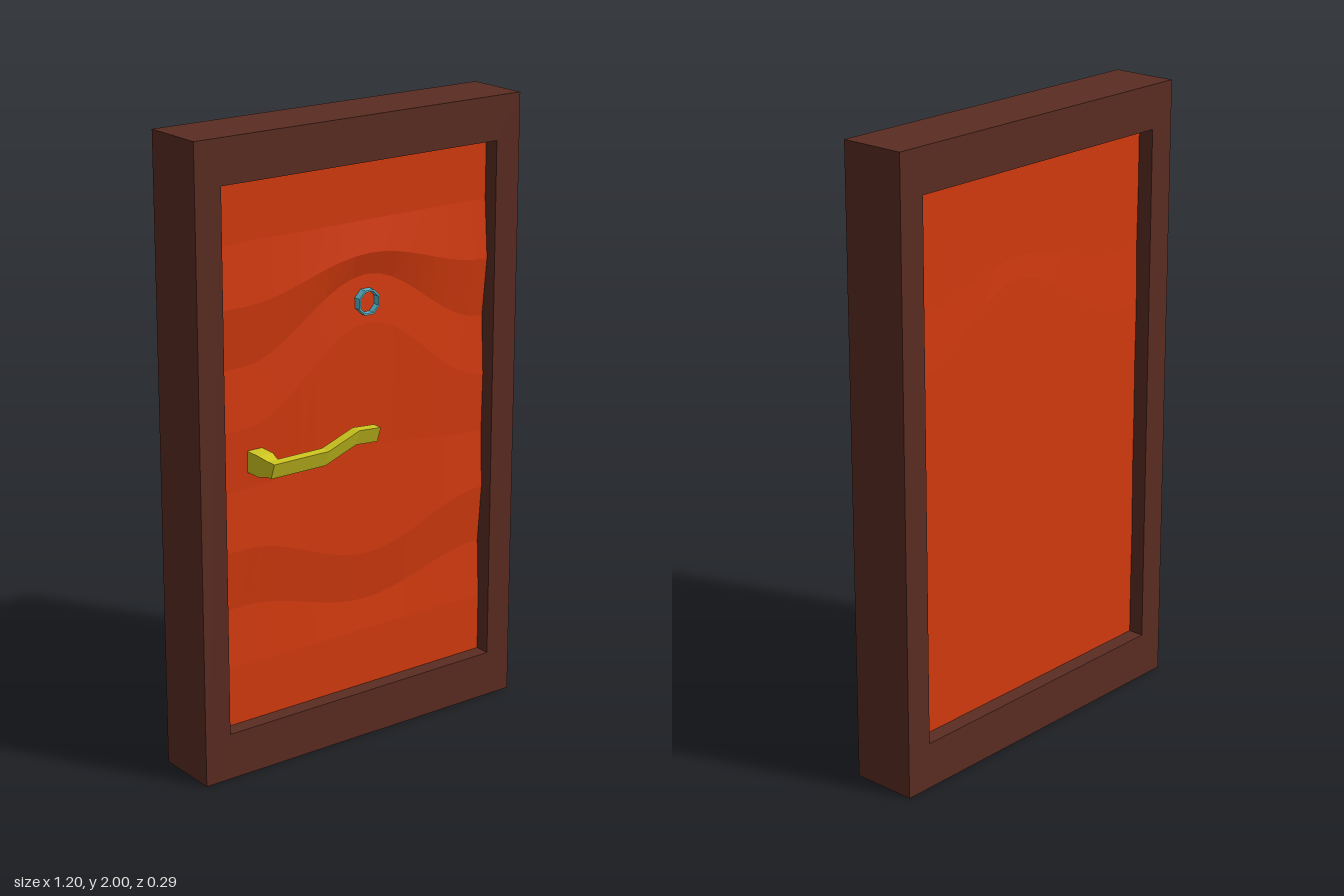
import * as THREE from 'three';

const mat = (color) => new THREE.MeshStandardMaterial({ color, flatShading: true });

function add(group, name, geometry, material) {
  const mesh = new THREE.Mesh(geometry, material);
  mesh.name = name;
  group.add(mesh);
  return mesh;
}

// Skin a row of four-cornered sections; corners run anticlockwise seen against the path
function loft(sections) {
  const pos = sections.flat(2), idx = [], last = (sections.length - 1) * 4;
  for (let i = 0; i < last; i += 4) {
    for (let j = 0; j < 4; j++) {
      const a = i + j, b = i + (j + 1) % 4;
      idx.push(a, b, b + 4, a, b + 4, a + 4);
    }
  }
  idx.push(0, 2, 1, 0, 3, 2, last, last + 1, last + 2, last, last + 2, last + 3);
  const g = new THREE.BufferGeometry();
  g.setAttribute('position', new THREE.Float32BufferAttribute(pos, 3));
  g.setIndex(idx);
  g.computeVertexNormals();
  return g;
}

// Frame with a rectangular opening
function frameGeometry() {
  const rect = (S, x, y0, y1) => new S([
    new THREE.Vector2(-x, y0), new THREE.Vector2(x, y0),
    new THREE.Vector2(x, y1), new THREE.Vector2(-x, y1),
  ]);
  const shape = rect(THREE.Shape, 0.6, 0, 2);
  shape.holes.push(rect(THREE.Path, 0.51, 0.15, 1.86));
  return new THREE.ExtrudeGeometry(shape, { depth: 0.215, bevelEnabled: false }).translate(0, 0, -0.147);
}

// Panel whose rows bow up or down around the middle and ripple in depth
function panelGeometry() {
  const rise = [0, 0, 0.09, 0.21, 0.25, 0.04, -0.12, -0.09, 0, 0];
  const ripple = [0, 0, 0.014, -0.006, 0.004, 0, 0.007, -0.009, 0, 0];
  const g = new THREE.BoxGeometry(1.02, 1.71, 0.112, 20, 9, 1).translate(0, 1.005, -0.039);
  const p = g.attributes.position;
  for (let i = 0; i < p.count; i++) {
    const x = p.getX(i), z = p.getZ(i);
    const row = Math.round((1.86 - p.getY(i)) / 0.19);
    const t = Math.min(1, Math.abs(x - 0.05) / 0.46);
    const bow = (1 + Math.cos(Math.PI * t)) / 2;
    p.setY(i, p.getY(i) + rise[row] * bow);
    p.setZ(i, z + ripple[row] * (z > 0 ? 1 : 0.15));
  }
  g.computeVertexNormals();
  return g;
}

export function createModel() {
  const door = new THREE.Group();
  door.name = 'door';
  add(door, 'frame', frameGeometry(), mat(0x5a2c21));
  add(door, 'panel', panelGeometry(), mat(0xd43a0e));

  // Peephole: a thin eight-sided ring
  const ring = new THREE.Shape();
  const hole = new THREE.Path();
  for (let i = 0; i < 8; i++) {
    const a = (i + 0.5) * Math.PI / 4, c = Math.cos(a), s = Math.sin(a);
    ring[i ? 'lineTo' : 'moveTo'](0.042 * c, 0.042 * s);
    hole[i ? 'lineTo' : 'moveTo'](0.036 * c, 0.036 * s);
  }
  ring.holes.push(hole);
  const peephole = add(door, 'peepholeRing',
    new THREE.ExtrudeGeometry(ring, { depth: 0.035, bevelEnabled: false }), mat(0x5cb8cc));
  peephole.position.set(0.043, 1.418, 0.004);

  // Handle: tapered mount and a leaning bar with a gentle step up
  const handle = new THREE.Group();
  handle.name = 'handle';
  door.add(handle);
  const brass = mat(0xd0c820);
  const mountAt = (z, x0, x1, y0, y1) => [[x0, y0, z], [x1, y0, z], [x1, y1, z], [x0, y1, z]];
  add(handle, 'handleMount', loft([
    mountAt(0.0, -0.4, -0.345, 0.962, 1.03),
    mountAt(0.075, -0.398, -0.345, 0.962, 1.028),
    mountAt(0.115, -0.388, -0.354, 0.972, 1.018),
  ]), brass);
  const path = [[-0.39, 0.97], [-0.19, 0.97], [-0.13, 0.992], [-0.075, 1.012], [0.005, 1.006]];
  add(handle, 'handleBar', loft(path.map(([x, y]) => [
    [x, y, 0.128], [x, y, 0.093], [x, y + 0.05, 0.11], [x, y + 0.05, 0.146],
  ])), brass);
  return door;
}
